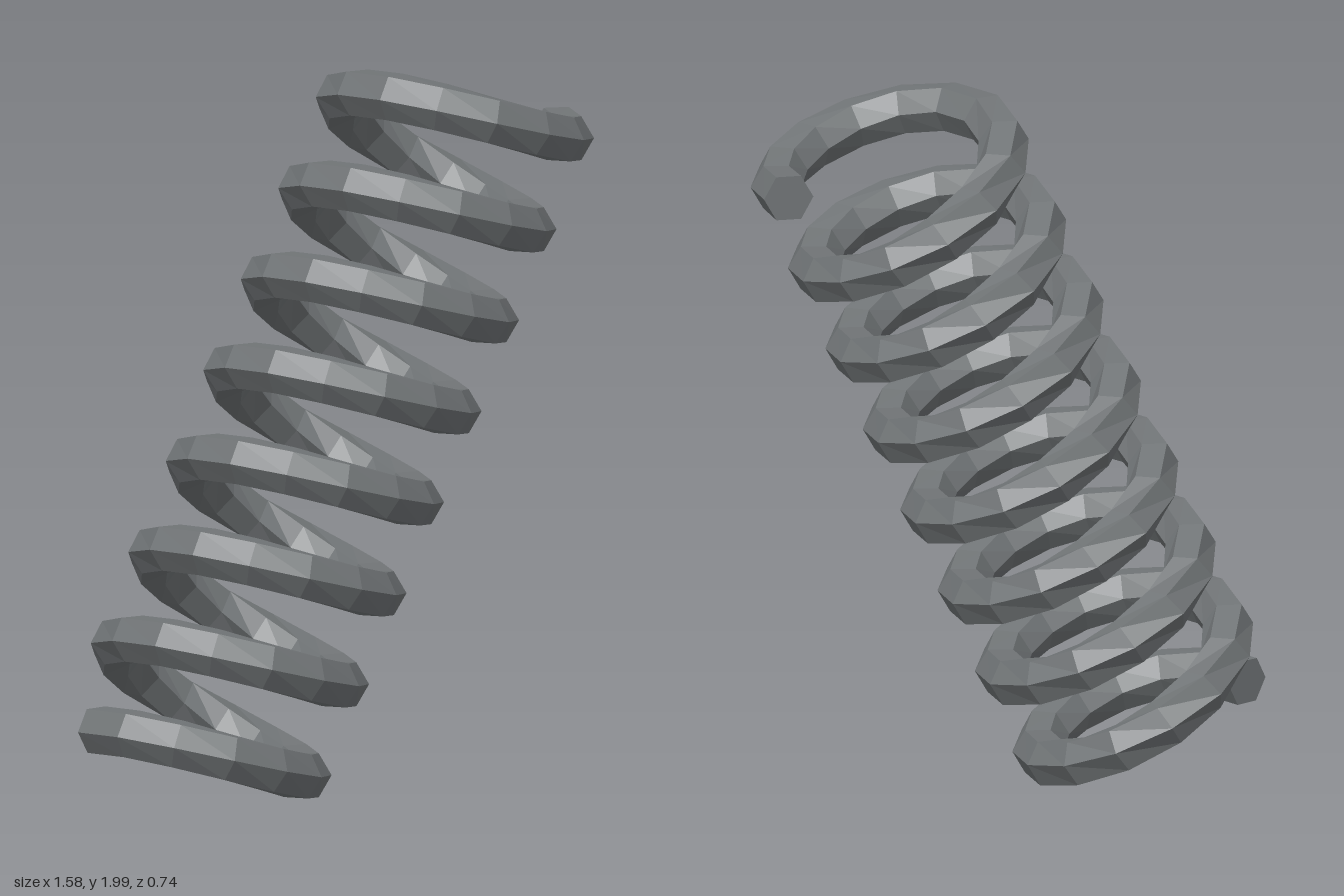
import * as THREE from 'three';

const TURNS = 7.5, STEPS = 14, SIDES = 6;   // coils, segments per coil, wire facets
const COIL_RADIUS = 0.312, WIRE_RADIUS = 0.07;
const PITCH = 0.271, TILT = THREE.MathUtils.degToRad(25.8);

// Centre line of the wire: a helix about a leaning axis, from the left end round the front
function centreLine() {
  const axis = new THREE.Vector3(Math.sin(TILT), Math.cos(TILT), 0);
  const side = new THREE.Vector3(Math.cos(TILT), -Math.sin(TILT), 0);
  const points = [];
  for (let i = 0; i <= TURNS * STEPS; i++) {
    const a = (i / STEPS) * Math.PI * 2;
    points.push(new THREE.Vector3(0, 1, 0)
      .addScaledVector(axis, (i / STEPS - TURNS / 2) * PITCH)
      .addScaledVector(side, -Math.cos(a) * COIL_RADIUS)
      .add(new THREE.Vector3(0, 0, Math.sin(a) * COIL_RADIUS)));
  }
  return points;
}

// Hexagonal wire swept along the points, kept level with the ground, with closed ends
function sweepWire(points) {
  const last = points.length - 1;
  const up = new THREE.Vector3(0, 1, 0);
  const positions = [], index = [];
  points.forEach((p, i) => {
    const tangent = new THREE.Vector3();
    if (i > 0) tangent.add(p.clone().sub(points[i - 1]).normalize());
    if (i < last) tangent.add(points[i + 1].clone().sub(p).normalize());
    tangent.normalize();
    const u = new THREE.Vector3().crossVectors(up, tangent).normalize();
    const v = new THREE.Vector3().crossVectors(tangent, u);
    for (let k = 0; k < SIDES; k++) {
      const a = (k / SIDES) * Math.PI * 2;
      const q = p.clone().addScaledVector(u, Math.cos(a) * WIRE_RADIUS)
        .addScaledVector(v, Math.sin(a) * WIRE_RADIUS);
      positions.push(q.x, q.y, q.z);
    }
  });
  for (let i = 0; i < last; i++) {
    for (let k = 0; k < SIDES; k++) {
      const a = i * SIDES + k, b = i * SIDES + (k + 1) % SIDES;
      index.push(a, b, b + SIDES, a, b + SIDES, a + SIDES);
    }
  }
  const end = last * SIDES;
  for (let k = 1; k < SIDES - 1; k++) {
    index.push(0, k + 1, k, end, end + k, end + k + 1);
  }
  const indexed = new THREE.BufferGeometry();
  indexed.setAttribute('position', new THREE.Float32BufferAttribute(positions, 3));
  indexed.setIndex(index);
  const geometry = indexed.toNonIndexed();
  geometry.computeVertexNormals();
  return geometry;
}

export function createModel() {
  const steel = new THREE.MeshStandardMaterial({ color: 0x707476, flatShading: true });
  steel.name = 'steel grey';
  const group = new THREE.Group();
  group.name = 'coilSpring';
  const wire = new THREE.Mesh(sweepWire(centreLine()), steel);
  wire.name = 'springWire';
  group.add(wire);
  return group;
}
